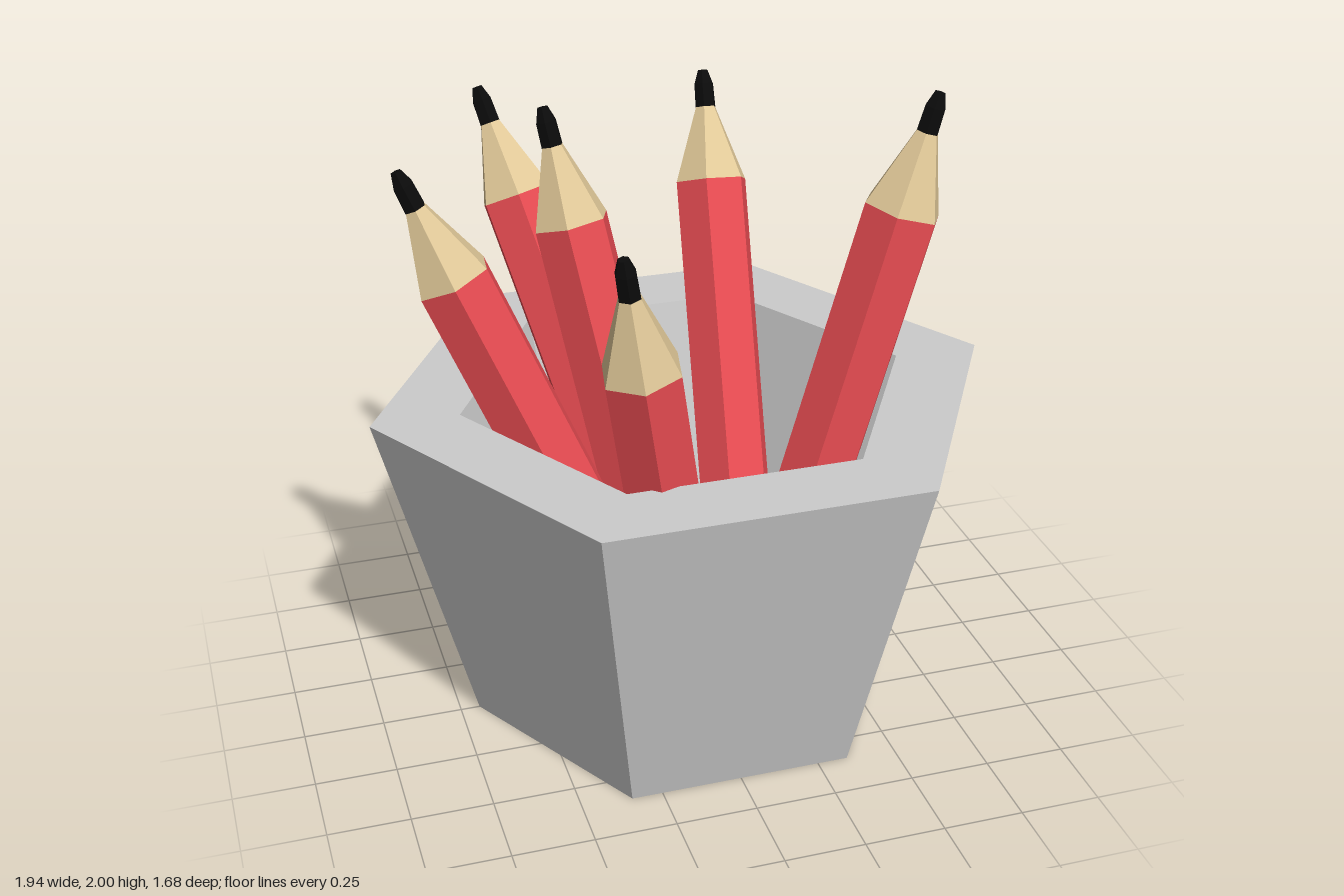
import * as THREE from 'three';

const flat = (color) => new THREE.MeshStandardMaterial({ color, flatShading: true });
const grey = flat(0xcccccc);
const red = flat(0xe84c52);
const wood = flat(0xe0c898);
const black = flat(0x0b0b0b);

const SIDES = 6;
const LENGTH = 1.73;

function part(name, geometry, material) {
  const mesh = new THREE.Mesh(geometry, material);
  mesh.name = name;
  return mesh;
}

// Six-sided tapered section between two heights, closed where asked
function section(name, y0, r0, y1, r1, material) {
  const geometry = new THREE.CylinderGeometry(r1, r0, y1 - y0, SIDES);
  geometry.translate(0, (y0 + y1) / 2, 0);
  return part(name, geometry, material);
}

// Pencil standing from its foot towards its tip, turned about its own axis
function createPencil(tip, foot, vertexAngle) {
  const pencil = new THREE.Group();
  pencil.name = 'pencil';
  const shoulder = LENGTH - 0.36;
  const leadBase = LENGTH - 0.12;
  const spin = new THREE.Group();
  spin.name = 'pencilParts';
  spin.rotation.y = THREE.MathUtils.degToRad(30 - vertexAngle);
  spin.add(
    section('pencilBody', 0, 0.122, shoulder, 0.122, red),
    section('sharpenedWood', shoulder, 0.122, leadBase, 0.034, wood),
    section('lead', leadBase, 0.035, LENGTH - 0.045, 0.033, black),
    section('leadPoint', LENGTH - 0.045, 0.033, LENGTH, 0.017, black)
  );
  pencil.add(spin);

  // Lean so the horizontal reach from foot to tip fits the pencil length
  const dx = tip[0] - foot[0];
  const dz = tip[2] - foot[1];
  const dy = Math.sqrt(LENGTH * LENGTH - dx * dx - dz * dz);
  const direction = new THREE.Vector3(dx, dy, dz).normalize();
  pencil.quaternion.setFromUnitVectors(new THREE.Vector3(0, 1, 0), direction);
  pencil.position.set(foot[0], tip[1] - dy, foot[1]);
  return pencil;
}

export function createModel() {
  const model = new THREE.Group();
  model.name = 'pencilCup';

  // Hexagonal cup: base, outer wall, rim, inner wall and floor
  const profile = [[0, 0], [0.69, 0], [0.97, 1.06], [0.7, 1.06], [0.47, 0.2], [0, 0.2]]
    .map(([r, y]) => new THREE.Vector2(r, y));
  model.add(part('cup', new THREE.LatheGeometry(profile, SIDES, Math.PI / 6), grey));

  // Pencils: tip (x, y, z), foot (x, z), turn in degrees
  const pencils = [
    [[0.7, 1.995, 0.215], [0.222, 0.215], 0],
    [[-0.825, 1.8, -0.115], [-0.155, 0.095], 36],
    [[0.295, 1.8, -0.765], [0.215, -0.04], 54],
    [[-0.455, 1.815, -0.765], [-0.045, -0.12], 35],
    [[-0.335, 1.865, -0.365], [-0.045, 0.025], 48],
    [[-0.345, 1.755, 0.585], [-0.065, 0.39], 41],
  ];
  for (const [tip, foot, angle] of pencils) model.add(createPencil(tip, foot, angle));

  return model;
}
